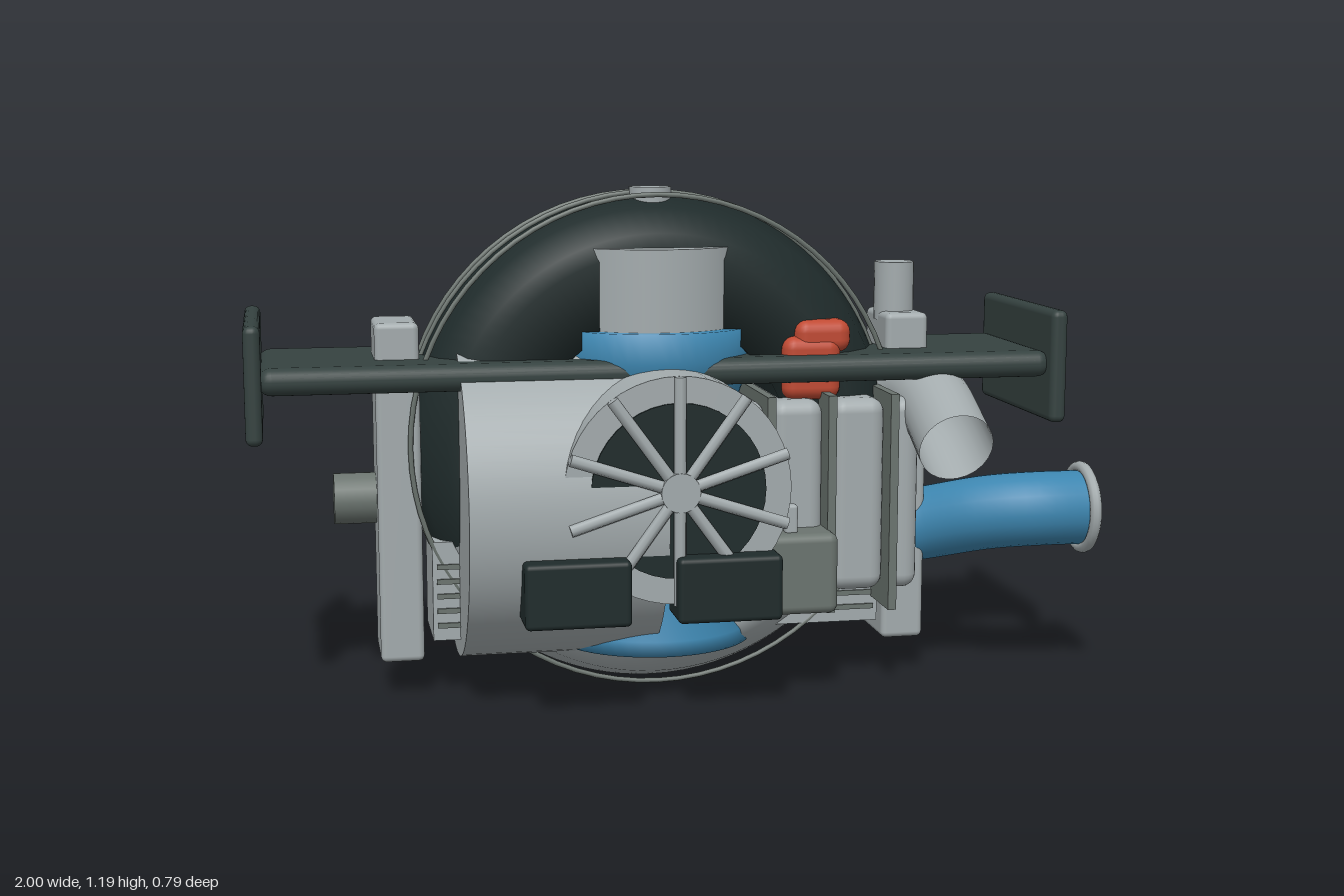
import * as THREE from 'three';
import { RoundedBoxGeometry } from 'three/addons/geometries/RoundedBoxGeometry.js';

const mat = (name, color, side = THREE.FrontSide) => {
  const m = new THREE.MeshStandardMaterial({ color, side });
  m.name = name;
  return m;
};

export function createModel() {
  const root = new THREE.Group();
  root.name = 'engine';
  const light = mat('light metal', 0xa3abad, THREE.DoubleSide);
  const iron = mat('cast iron', 0x6b746f);
  const dark = mat('dark casing', 0x1f2b2b);
  const wingMat = mat('wing grey', 0x354240);
  const blue = mat('blue paint', 0x3d86b0, THREE.DoubleSide);
  const red = mat('red paint', 0xc04a33);
  const CX = -0.05, CZ = -0.015;

  const add = (name, geo, m, x = 0, y = 0, z = 0) => {
    const mesh = new THREE.Mesh(geo, m);
    mesh.name = name;
    mesh.position.set(x, y, z);
    root.add(mesh);
    return mesh;
  };
  // Box given by its min and max corners, rounded when r > 0
  const box = (name, m, [x0, x1], [y0, y1], [z0, z1], r = 0) => {
    const s = [x1 - x0, y1 - y0, z1 - z0];
    const g = r ? new RoundedBoxGeometry(...s, 3, r) : new THREE.BoxGeometry(...s);
    return add(name, g, m, (x0 + x1) / 2, (y0 + y1) / 2, (z0 + z1) / 2);
  };
  const cyl = (name, m, r, h, axis, x, y, z, seg = 32) => {
    const g = new THREE.CylinderGeometry(r, r, h, seg);
    if (axis === 'x') g.rotateZ(Math.PI / 2);
    if (axis === 'z') g.rotateX(Math.PI / 2);
    return add(name, g, m, x, y, z);
  };
  const lathe = (pts, seg, start = 0, len = Math.PI * 2) =>
    new THREE.LatheGeometry(pts.map(p => new THREE.Vector2(...p)), seg, start, len);

  // Ring casing: dark upper arc and metal lower arc
  const rim = [[0.3, -0.155], [0.46, -0.155], [0.5, -0.14], [0.555, -0.08], [0.585, 0],
    [0.555, 0.08], [0.5, 0.14], [0.46, 0.155], [0.3, 0.155], [0.3, -0.155]];
  const a = Math.PI * 0.36;
  add('upperCasing', lathe(rim, 64, a, 2 * Math.PI - 2 * a).rotateX(Math.PI / 2), dark, CX, 0.593, CZ);
  add('lowerCasing', lathe(rim, 32, -a, 2 * a).rotateX(Math.PI / 2), light, CX, 0.593, CZ);
  for (const z of [0.085, CZ, -0.112])
    add('casingHoop', new THREE.TorusGeometry(z === CZ ? 0.583 : 0.58, 0.006, 6, 72), iron, CX, 0.6, z);
  cyl('topCap', light, 0.05, 0.05, 'y', CX, 1.17, CZ);

  // Central column with its blue jacket
  cyl('column', light, 0.213, 0.4, 'y', CX, 0.86, CZ, 48);
  add('columnJacket', lathe([[0, 0.115], [0.243, 0.115], [0.24, 0.15], [0.2, 0.28], [0.19, 0.5],
    [0.2, 0.67], [0.235, 0.77], [0.243, 0.8], [0.243, 0.87], [0.2, 0.87]], 48), blue, CX, 0, CZ);

  // Large drum across the left half
  cyl('drum', light, 0.375, 0.45, 'x', -0.297, 0.465, CZ, 64);

  // Cooling fan on the front
  cyl('fanShroud', light, 0.26, 0.32, 'z', CX, 0.53, 0.185, 48);
  cyl('fanOpening', dark, 0.2, 0.008, 'z', CX, 0.53, 0.347, 40);
  cyl('fanHub', light, 0.045, 0.03, 'z', CX, 0.53, 0.36, 24);
  for (let i = 0; i < 10; i++) {
    const g = new THREE.CylinderGeometry(0.014, 0.014, 0.26, 8).translate(0, 0.13, 0);
    add('fanSpoke', g, light, CX, 0.53, 0.36).rotation.z = i * Math.PI / 5;
  }

  // Front boxes under the fan
  box('frontBox', dark, [-0.405, -0.165], [0.235, 0.385], [0.27, 0.4], 0.012);
  box('frontBox', dark, [-0.06, 0.18], [0.235, 0.385], [0.27, 0.4], 0.012);
  box('frontValveBox', iron, [0.17, 0.34], [0.215, 0.405], [0.15, 0.288], 0.02);
  box('frontValveStud', light, [0.22, 0.25], [0.4, 0.47], [0.225, 0.255], 0.008);

  // Rear valve box with studs
  box('rearValveBox', iron, [-0.07, 0.34], [0.21, 0.395], [-0.315, -0.15], 0.02);
  for (const x of [0.08, 0.22])
    box('rearValveStud', light, [x - 0.02, x + 0.02], [0.39, 0.455], [-0.29, -0.25], 0.008);

  // Rounded blocks and thin plates on the right half
  for (const [x0, x1] of [[0.1, 0.185], [0.2, 0.325], [0.345, 0.475], [0.49, 0.56]])
    box('cylinderBlock', light, [x0, x1], [0.245, 0.705], [-0.23, 0.2], 0.034);
  for (const x of [0.19, 0.335, 0.485])
    box('dividerPlate', iron, [x - 0.01, x + 0.01], [0.205, 0.72], [-0.268, 0.236]);

  // Finned radiator low in the casing
  box('radiator', light, [-0.585, 0.49], [0.145, 0.38], [-0.11, 0.09]);
  for (let i = 0; i < 5; i++) for (const z of [-0.112, 0.092])
    for (const [x0, x1] of [[-0.575, -0.5], [0.28, 0.48]])
      box('radiatorSlit', iron, [x0, x1], [0.175 + i * 0.035, 0.187 + i * 0.035], [z - 0.003, z + 0.003]);

  // Rear pipe hoop
  add('rearHoop', new THREE.TorusGeometry(0.465, 0.025, 14, 72), light, CX, 0.58, -0.255);

  // Wing with end plates
  box('wing', wingMat, [-0.97, 0.88], [0.745, 0.808], [-0.228, 0.205], 0.03);
  box('wingEndPlate', wingMat, [-1, -0.962], [0.64, 0.907], [-0.264, 0.235], 0.016);
  box('wingEndPlate', wingMat, [0.867, 0.907], [0.64, 0.907], [-0.264, 0.235], 0.016);

  // Side uprights
  box('sideUpright', light, [-0.707, -0.605], [0.093, 0.892], [-0.103, 0.078], 0.014);
  box('sideUpright', light, [0.508, 0.612], [0.093, 0.892], [-0.103, 0.078], 0.014);
  cyl('uprightStub', light, 0.048, 0.14, 'y', 0.552, 0.94, CZ, 24);
  cyl('sideKnob', iron, 0.06, 0.12, 'x', -0.745, 0.472, CZ, 24);

  // Exhaust pipe pointing forward and down
  const v = (x, y, z) => new THREE.Vector3(x, y, z);
  const exhaust = new THREE.CatmullRomCurve3([v(0.54, 0.7, -0.03), v(0.585, 0.715, 0.05),
    v(0.605, 0.69, 0.14), v(0.605, 0.605, 0.327)]);
  add('exhaustPipe', new THREE.TubeGeometry(exhaust, 24, 0.088, 24), light);

  // Blue intake with flanged mouth
  const intake = new THREE.CatmullRomCurve3([v(0.55, 0.35, -0.02), v(0.63, 0.365, 0.01),
    v(0.76, 0.405, 0.105), v(0.86, 0.418, 0.147), v(0.99, 0.418, 0.148)]);
  add('intakePipe', new THREE.TubeGeometry(intake, 20, 0.09, 24), blue);
  add('intakeFlange', new THREE.TorusGeometry(0.098, 0.014, 10, 40).rotateY(Math.PI / 2), light, 0.985, 0.418, 0.148);

  // Red pump beside the casing
  box('pumpBody', red, [0.235, 0.375], [0.7, 0.85], [0.06, 0.17], 0.03);
  box('pumpHead', red, [0.265, 0.4], [0.81, 0.888], [0.07, 0.165], 0.03);

  return root;
}
